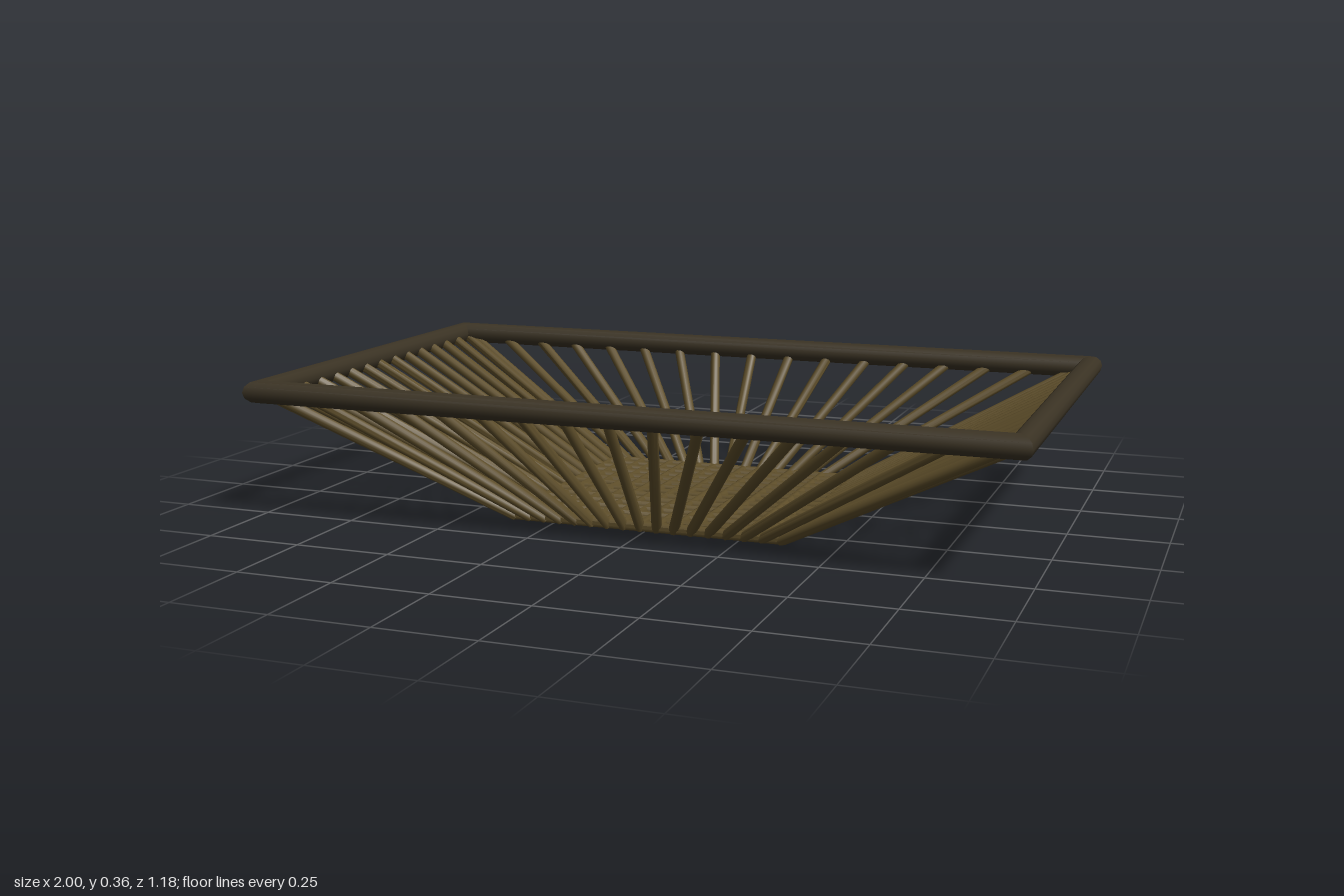
import * as THREE from 'three';
import { toCreasedNormals } from 'three/addons/utils/BufferGeometryUtils.js';

const rimMaterial = new THREE.MeshStandardMaterial({ color: 0x3b3324 });
const ribMaterial = new THREE.MeshStandardMaterial({ color: 0x5e4e2a });

// Round bar swept along a flat polyline, with mitred corners
function sweep(points, radius, sides, closed) {
  const n = points.length;
  const dir = (i) => points[(i + 1) % n].clone().sub(points[i % n]).normalize();
  const normal = dir(0).cross(dir(1)).normalize();
  const positions = [];
  const index = [];
  for (let i = 0; i < n; i++) {
    const before = closed || i > 0 ? dir((i + n - 1) % n) : dir(0);
    const after = closed || i < n - 1 ? dir(i) : before;
    const tangent = before.clone().add(after).normalize();
    const mitre = normal.clone().cross(tangent).divideScalar(tangent.dot(before));
    for (let j = 0; j < sides; j++) {
      const a = (j / sides) * Math.PI * 2;
      const p = points[i].clone()
        .addScaledVector(mitre, radius * Math.cos(a))
        .addScaledVector(normal, radius * Math.sin(a));
      positions.push(p.x, p.y, p.z);
    }
  }
  const spans = closed ? n : n - 1;
  for (let i = 0; i < spans; i++) {
    for (let j = 0; j < sides; j++) {
      const k = (j + 1) % sides;
      const here = i * sides;
      const next = ((i + 1) % n) * sides;
      index.push(here + j, here + k, next + k, here + j, next + k, next + j);
    }
  }
  const geometry = new THREE.BufferGeometry();
  geometry.setAttribute('position', new THREE.Float32BufferAttribute(positions, 3));
  geometry.setIndex(index);
  return toCreasedNormals(geometry, 0.7);
}

export function createModel() {
  const group = new THREE.Group();
  const v = (x, y, z) => new THREE.Vector3(x, y, z);
  const rimY = 0.335, rimX = 0.968, rimZ = 0.56, rimRadius = 0.03;
  const floorY = 0.0145, floorX = 0.365, floorZ = 0.345, ribRadius = 0.0135;

  function add(name, points, radius, sides, closed, material) {
    const mesh = new THREE.Mesh(sweep(points, radius, sides, closed), material);
    mesh.name = name;
    group.add(mesh);
  }

  // Rectangular rim
  add('rim', [v(-rimX, rimY, -rimZ), v(-rimX, rimY, rimZ), v(rimX, rimY, rimZ), v(rimX, rimY, -rimZ)],
    rimRadius, 12, true, rimMaterial);

  // Ribs running front to back, bent up to the long rim sides
  for (let i = -8; i <= 8; i++) {
    const t = i / 8;
    const shift = -0.011 * (1 - t * t);
    const top = 0.95 * t + shift;
    const low = 0.363 * t + shift;
    add('lengthRib', [v(top, rimY, -rimZ), v(low, floorY, -floorZ), v(low, floorY, floorZ), v(top, rimY, rimZ)],
      ribRadius, 10, false, ribMaterial);
  }

  // Ribs running side to side, bent up to the short rim sides
  for (let i = -7; i <= 7; i++) {
    const top = (0.553 * i) / 7;
    const low = (0.342 * i) / 7;
    add('crossRib', [v(-rimX, rimY, top), v(-floorX, floorY, low), v(floorX, floorY, low), v(rimX, rimY, top)],
      ribRadius, 10, false, ribMaterial);
  }
  return group;
}
